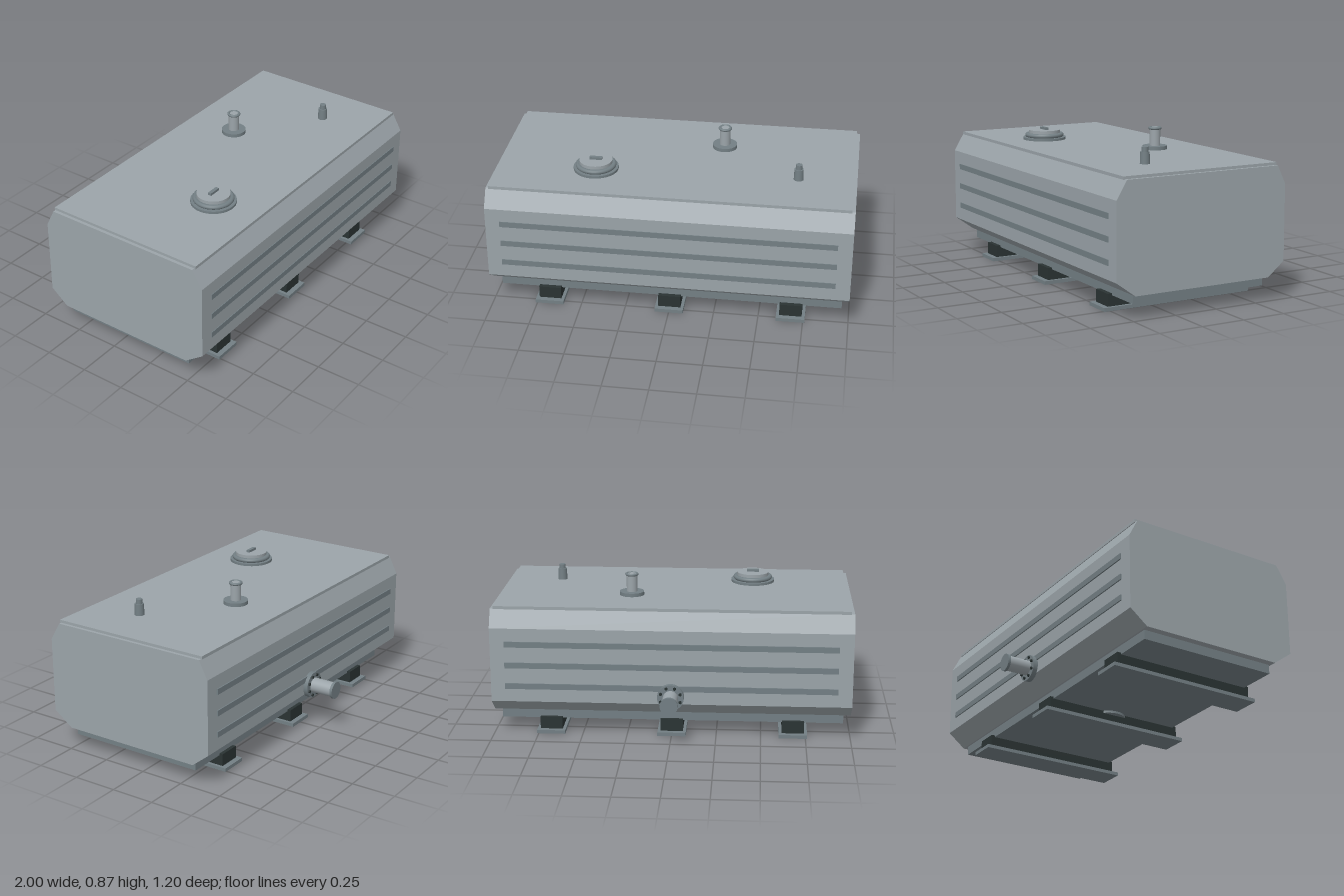
import * as THREE from 'three';

const mat = (name, color) => {
  const m = new THREE.MeshStandardMaterial({ color });
  m.name = name;
  return m;
};

export function createModel() {
  const group = new THREE.Group();
  const body = mat('tank grey', 0x9ba4a9);
  const trim = mat('trim grey', 0x737f84);
  const dark = mat('dark rubber', 0x2a3333);

  const add = (name, geo, material, x, y, z, parent = group) => {
    const mesh = new THREE.Mesh(geo, material);
    mesh.name = name;
    mesh.position.set(x, y, z);
    parent.add(mesh);
    return mesh;
  };
  const box = (name, w, h, d, material, x, y, z, parent) =>
    add(name, new THREE.BoxGeometry(w, h, d), material, x, y, z, parent);
  // Upright disc given by its bottom and top heights
  const disc = (name, r, y0, y1, material, x, z, parent, rTop = r) =>
    add(name, new THREE.CylinderGeometry(rTop, r, y1 - y0, 40), material, x, (y0 + y1) / 2, z, parent);
  const ring = (name, r, tube, material, y, parent) =>
    add(name, new THREE.TorusGeometry(r, tube, 12, 40).rotateX(Math.PI / 2), material, 0, y, 0, parent);
  const part = (name, x, y, z) => {
    const g = new THREE.Group();
    g.name = name;
    g.position.set(x, y, z);
    group.add(g);
    return g;
  };

  // Tank: chamfered cross-section (z, y) swept along x
  const profile = [[0.6, 0.21], [0.6, 0.63], [0.54, 0.73], [-0.38, 0.73],
    [-0.43, 0.63], [-0.43, 0.21], [-0.33, 0.13], [0.49, 0.13]];
  const shape = new THREE.Shape(profile.map(([z, y]) => new THREE.Vector2(z, y)));
  const tank = new THREE.ExtrudeGeometry(shape, { depth: 2, bevelEnabled: false });
  tank.rotateY(-Math.PI / 2).translate(1, 0, 0);
  add('tank', tank, body, 0, 0, 0);
  box('topPlate', 1.964, 0.017, 0.935, body, 0, 0.7365, 0.0825);

  // Horizontal ribs on front and back
  for (const y of [0.3, 0.42, 0.54]) {
    box('frontRib', 1.84, 0.032, 0.008, trim, 0, y, 0.6);
    box('backRib', 1.84, 0.032, 0.012, trim, 0, y, -0.431);
  }

  // Base frame, skids and foot plates
  box('baseFrame', 1.92, 0.052, 0.8, trim, 0, 0.105, 0.08);
  for (const x of [-0.68, 0, 0.68]) {
    box('skid', 0.125, 0.07, 0.845, dark, x, 0.054, 0.0825);
    box('footPlate', 0.16, 0.02, 0.905, trim, x, 0.01, 0.0825);
  }
  disc('drainFlange', 0.095, 0.066, 0.082, trim, 0, 0.08);

  // Filler hatch
  const hatch = part('fillerHatch', -0.44, 0.745, 0.265);
  disc('hatchFlange', 0.125, 0, 0.014, trim, 0, 0, hatch);
  disc('hatchNeck', 0.1, 0.01, 0.038, trim, 0, 0, hatch);
  ring('hatchRing', 0.1, 0.013, trim, 0.026, hatch);
  disc('hatchCap', 0.092, 0.03, 0.056, body, 0, 0, hatch);
  box('hatchHandle', 0.07, 0.016, 0.02, trim, 0, 0.062, 0, hatch);

  // Vent pipe
  const vent = part('ventPipe', 0.24, 0.745, -0.085);
  disc('ventFlange', 0.069, 0, 0.02, trim, 0, 0, vent);
  disc('ventTube', 0.03, 0.02, 0.122, body, 0, 0, vent);
  ring('ventLip', 0.03, 0.008, trim, 0.118, vent);

  // Relief valve
  const valve = part('reliefValve', 0.68, 0.745, 0.245);
  disc('valveBody', 0.027, 0, 0.064, trim, 0, 0, valve, 0.025);
  disc('valveTip', 0.018, 0.06, 0.09, trim, 0, 0, valve);

  // Rear outlet, built upright then tipped to point backwards
  const outlet = part('rearOutlet', 0, 0.255, -0.43);
  outlet.rotation.x = -Math.PI / 2;
  disc('outletFlange', 0.074, -0.002, 0.027, trim, 0, 0, outlet);
  disc('outletPipe', 0.042, 0.02, 0.165, body, 0, 0, outlet);
  disc('outletLip', 0.049, 0.155, 0.17, trim, 0, 0, outlet);
  for (let i = 0; i < 8; i++) {
    const a = (i + 0.5) * Math.PI / 4;
    add('flangeBolt', new THREE.CylinderGeometry(0.009, 0.009, 0.012, 6), dark,
      0.059 * Math.cos(a), 0.029, 0.059 * Math.sin(a), outlet);
  }

  return group;
}
